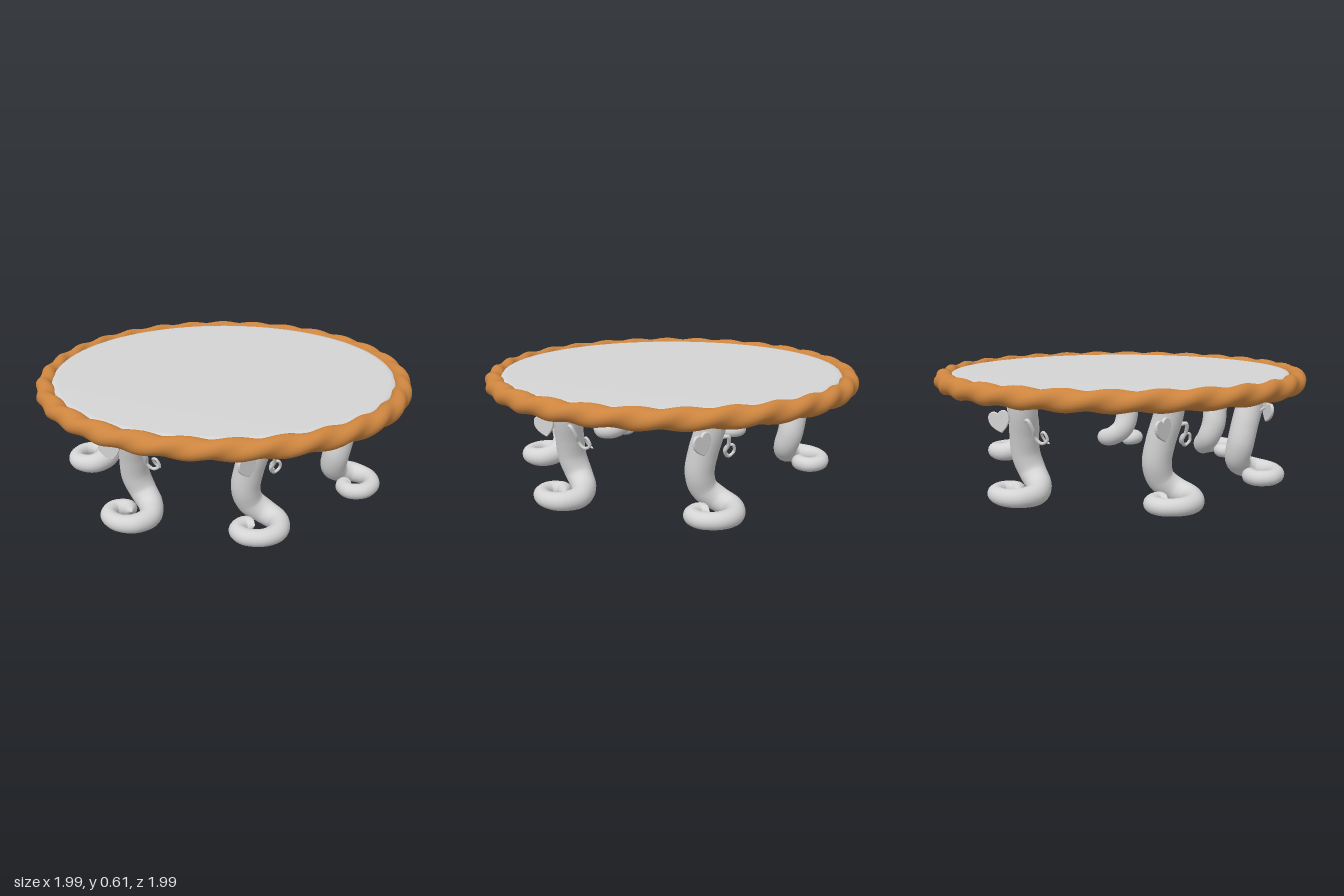
import * as THREE from 'three';
import { mergeVertices } from 'three/addons/utils/BufferGeometryUtils.js';

const grey = new THREE.MeshStandardMaterial({ color: 0xd4d4d4 });
grey.name = 'pale grey';
const crust = new THREE.MeshStandardMaterial({ color: 0xcd853f });
crust.name = 'golden brown';

function part(name, geometry, material) {
  const mesh = new THREE.Mesh(geometry, material);
  mesh.name = name;
  return mesh;
}

// Tube along a smooth path whose radius follows radiusAt(u)
function taperedTube(points, segments, sides, radiusAt) {
  const curve = new THREE.CatmullRomCurve3(points.map((p) => new THREE.Vector3(...p)));
  const geometry = new THREE.TubeGeometry(curve, segments, 1, sides);
  const pos = geometry.attributes.position;
  const v = new THREE.Vector3();
  for (let i = 0; i < pos.count; i++) {
    const u = Math.floor(i / (sides + 1)) / segments;
    const centre = curve.getPointAt(u);
    v.fromBufferAttribute(pos, i).sub(centre).multiplyScalar(radiusAt(u)).add(centre);
    pos.setXYZ(i, v.x, v.y, v.z);
  }
  return geometry;
}

// Closes the far end of a tube with a rounded tip
const roundTip = (u, start) =>
  u < start ? 1 : Math.sqrt(Math.max(0, 1 - ((u - start) / (1 - start)) ** 2));

// Rope-like rim: a ring whose slightly oval section twists as it goes round
function rimGeometry(radius, twists) {
  const geometry = new THREE.TorusGeometry(radius, 0.05, 24, 336);
  const { position, uv } = geometry.attributes;
  for (let i = 0; i < position.count; i++) {
    const a = uv.getX(i) * Math.PI * 2;
    const b = uv.getY(i) * Math.PI * 2;
    const r = 0.0485 - 0.0055 * Math.cos(2 * b - twists * a);
    const d = radius + r * Math.cos(b);
    position.setXYZ(i, d * Math.cos(a), d * Math.sin(a), r * Math.sin(b));
  }
  geometry.deleteAttribute('uv');
  geometry.deleteAttribute('normal');
  const merged = mergeVertices(geometry, 1e-5);
  merged.computeVertexNormals();
  return merged.rotateX(Math.PI / 2);
}

// Heart-shaped leaf, tip down
function leafGeometry() {
  const s = new THREE.Shape();
  s.moveTo(0, -0.052);
  s.bezierCurveTo(-0.025, -0.035, -0.055, -0.01, -0.048, 0.025);
  s.bezierCurveTo(-0.042, 0.055, -0.008, 0.052, 0, 0.028);
  s.bezierCurveTo(0.008, 0.052, 0.042, 0.055, 0.048, 0.025);
  s.bezierCurveTo(0.055, -0.01, 0.025, -0.035, 0, -0.052);
  return new THREE.ExtrudeGeometry(s, {
    depth: 0.006, bevelEnabled: true, bevelThickness: 0.005, bevelSize: 0.004,
    bevelSegments: 3, curveSegments: 10,
  }).translate(0, 0, -0.003);
}

export function createModel() {
  const table = new THREE.Group();
  table.name = 'table';

  // Round top with rounded edge
  const topProfile = [[0, 0.513], [0.9, 0.513], [0.92, 0.53], [0.92, 0.57], [0.905, 0.584], [0.88, 0.587], [0, 0.587]]
    .map(([x, y]) => new THREE.Vector2(x, y));
  table.add(part('tableTop', new THREE.LatheGeometry(topProfile, 96), grey));

  const rim = part('twistedRim', rimGeometry(0.945, 28), crust);
  rim.position.y = 0.55;
  table.add(rim);

  // Leg parts: local x runs along the rim, local z points outwards
  const legGeometry = taperedTube([
    [0.01, 0.55, 0.02], [0, 0.44, 0.005], [-0.025, 0.32, -0.02], [-0.035, 0.21, -0.04],
    [-0.005, 0.125, -0.055], [0.06, 0.073, -0.035], [0.108, 0.052, 0.03],
    [0.085, 0.047, 0.115], [0.01, 0.046, 0.152], [-0.075, 0.045, 0.125],
    [-0.1, 0.044, 0.06], [-0.055, 0.043, 0.015], [-0.005, 0.042, 0.035],
  ], 90, 20, (u) => (0.071 - 0.03 * THREE.MathUtils.smoothstep(u, 0.3, 0.8)) * roundTip(u, 0.96));

  const tendrilGeometry = taperedTube([
    [0.04, 0.4, 0.03], [0.075, 0.405, 0.04], [0.085, 0.36, 0.02], [0.075, 0.32, 0],
    [0.1, 0.29, -0.02], [0.13, 0.31, -0.03], [0.12, 0.345, -0.02], [0.09, 0.335, -0.03],
    [0.09, 0.3, -0.05], [0.115, 0.283, -0.06],
  ], 60, 8, (u) => (0.01 - 0.004 * u) * roundTip(u, 0.95));

  const stalkGeometry = taperedTube(
    [[-0.03, 0.38, 0.04], [-0.045, 0.41, 0.08], [-0.063, 0.415, 0.093]], 12, 8, () => 0.008);
  const heart = leafGeometry();

  // Leg positions as x, z and outward angle in degrees
  const legs = [
    [0.68, 0.13, 11], [0.28, 0.64, 66], [-0.31, 0.64, 114],
    [-0.69, 0.1, 170], [-0.44, -0.55, 231], [0.46, -0.55, -50],
  ];
  for (const [x, z, angle] of legs) {
    const leg = new THREE.Group();
    leg.name = 'curledLeg';
    const leaf = part('leaf', heart, grey);
    leaf.position.set(-0.065, 0.395, 0.097);
    leaf.rotation.set(0, 0.5, 0.2);
    leg.add(
      part('vineStem', legGeometry, grey),
      part('tendril', tendrilGeometry, grey),
      part('leafStalk', stalkGeometry, grey),
      leaf,
    );
    leg.position.set(x, 0, z);
    leg.rotation.y = Math.PI / 2 - THREE.MathUtils.degToRad(angle);
    table.add(leg);
  }
  return table;
}
